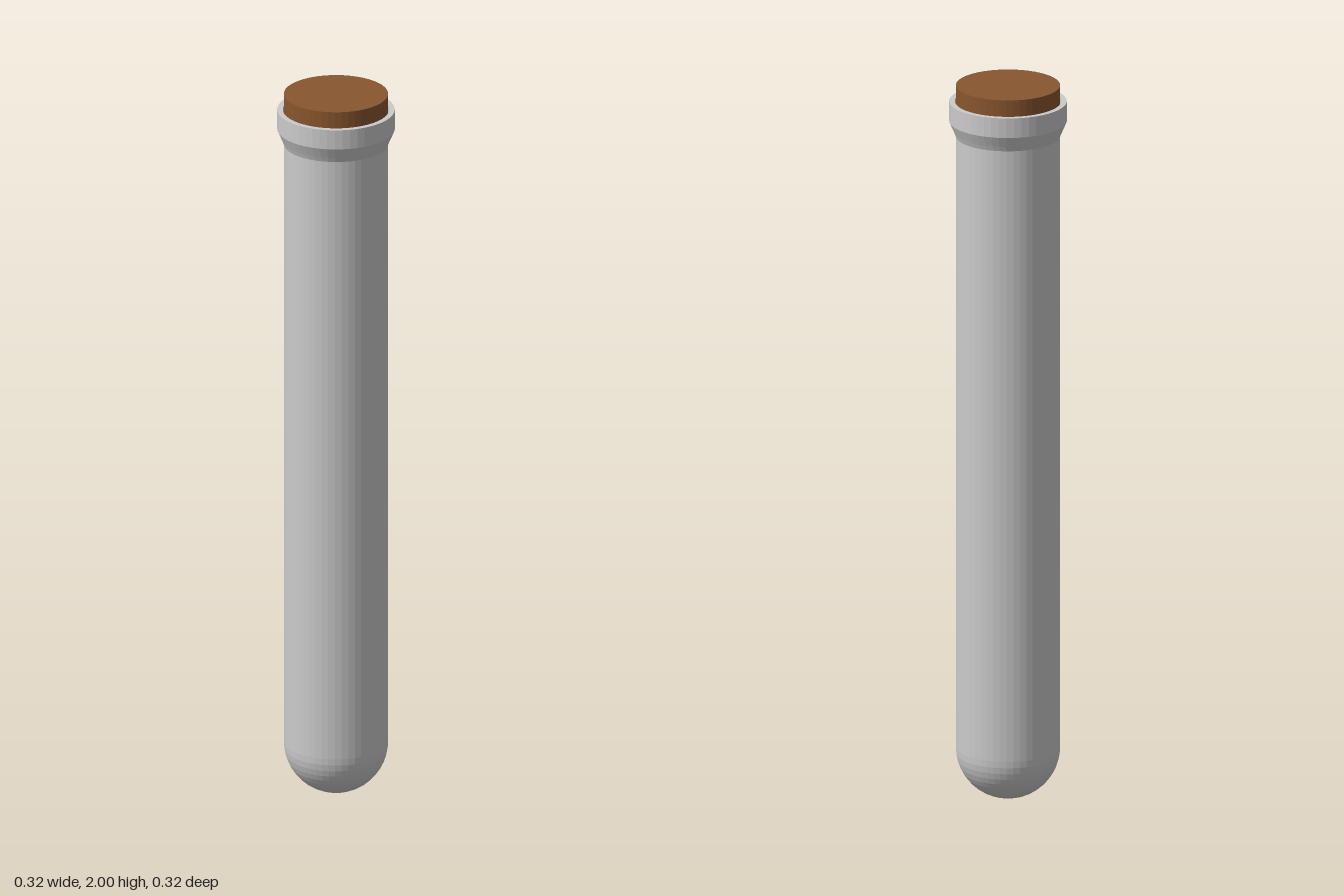
import * as THREE from 'three';

const SIDES = 48;

function addPart(group, name, geometry, color) {
  const material = new THREE.MeshStandardMaterial({ color, flatShading: true });
  const mesh = new THREE.Mesh(geometry, material);
  mesh.name = name;
  group.add(mesh);
}

// Points of a quarter circle from the bottom pole up to the equator
function bowl(radius, centreY, steps) {
  return Array.from({ length: steps + 1 }, (_, i) => {
    const a = (i / steps) * Math.PI / 2;
    return new THREE.Vector2(radius * Math.sin(a), centreY - radius * Math.cos(a));
  });
}

export function createModel() {
  const group = new THREE.Group();
  group.name = 'stopperedTube';

  const radius = 0.14;
  const inner = 0.128;

  // Glass: outer round bottom, straight wall, flared lip, then back down inside
  const profile = [
    ...bowl(radius, radius, 12),
    new THREE.Vector2(radius, 1.857),
    new THREE.Vector2(0.145, 1.87),
    new THREE.Vector2(0.158, 1.9),
    new THREE.Vector2(0.158, 1.955),
    new THREE.Vector2(0.143, 1.955),
    new THREE.Vector2(0.143, 1.9),
    new THREE.Vector2(inner, 1.857),
    ...bowl(inner, radius, 12).reverse(),
  ];
  addPart(group, 'glassTube', new THREE.LatheGeometry(profile, SIDES), 0xcccccc);

  // Cork: plug seated in the lip, standing slightly proud of it
  const cork = new THREE.CylinderGeometry(radius, radius, 0.1, SIDES);
  cork.translate(0, 1.95, 0);
  addPart(group, 'cork', cork, 0x88562e);

  return group;
}
